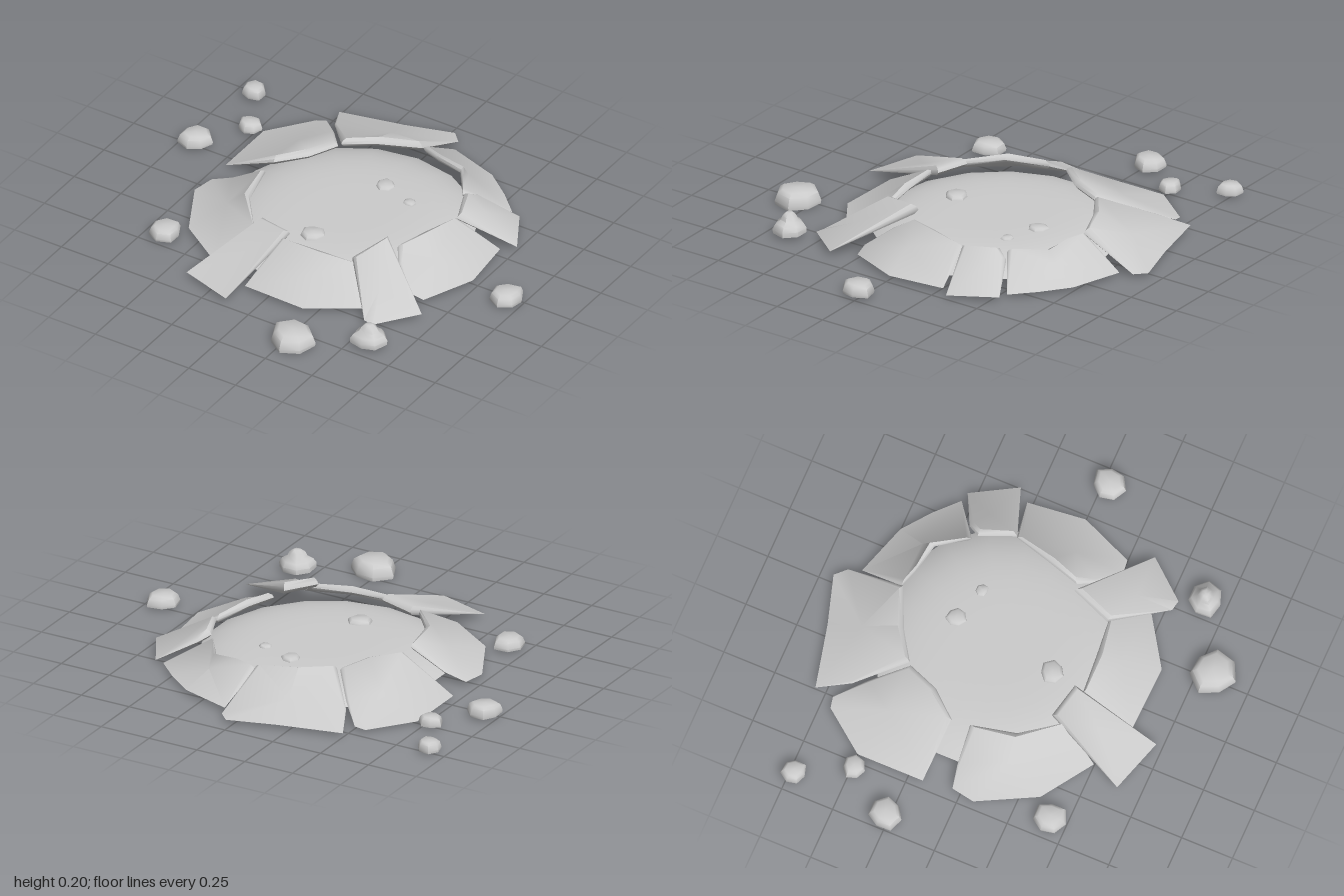
import * as THREE from 'three';
import { toCreasedNormals } from 'three/addons/utils/BufferGeometryUtils.js';

const material = new THREE.MeshStandardMaterial({ color: 0xcccccc, side: THREE.DoubleSide });

function addMesh(group, geometry, name) {
  const mesh = new THREE.Mesh(geometry, material);
  mesh.name = name;
  group.add(mesh);
  return mesh;
}

// Tilted slab: corners [x, z, y] run clockwise seen from above; raised corners get a thick rounded lip
function slab(corners) {
  const n = corners.length;
  const pts = corners.map(([x, z, y]) => new THREE.Vector3(x, y, z));
  const centre = pts.reduce((s, p) => s.add(p), new THREE.Vector3()).divideScalar(n);
  const ring = (inset, drop) => pts.map((p) => {
    const lift = Math.max(0, (p.y - 0.02) / 0.13);
    const inward = centre.clone().sub(p).setY(0).normalize();
    const q = p.clone().addScaledVector(inward, inset * lift);
    q.y -= drop * lift;
    return q;
  });
  const rings = [ring(0.025, 0), ring(0.007, 0.008), ring(0, 0.02), ring(0.014, 0.036)];
  const base = centre.clone();
  base.y -= 0.016;
  const out = [];
  const tri = (...v) => v.forEach((p) => out.push(p.x, p.y, p.z));
  for (let i = 0; i < n; i++) {
    const j = (i + 1) % n;
    tri(centre, rings[0][j], rings[0][i]);
    for (let k = 0; k < 3; k++) {
      const [a, b] = [rings[k], rings[k + 1]];
      tri(a[i], a[j], b[j]);
      tri(a[i], b[j], b[i]);
    }
    tri(base, rings[3][i], rings[3][j]);
  }
  const g = new THREE.BufferGeometry();
  g.setAttribute('position', new THREE.Float32BufferAttribute(out, 3));
  return toCreasedNormals(g, 0.9);
}

// Irregular chipped stone, hollow underneath, with a rounded top
function stone(radius, height, seed, peaked) {
  const outline = peaked
    ? [[0.98, 0], [1, 0.25], [0.82, 0.48], [0.52, 0.65], [0.42, 0.85], [0.2, 1], [0, 1]]
    : [[0.98, 0], [1, 0.25], [0.87, 0.78], [0.66, 1], [0, 1.03]];
  const g = new THREE.LatheGeometry(
    outline.map(([r, y]) => new THREE.Vector2(r * radius, y * height)), 7);
  const p = g.attributes.position;
  for (let i = 0; i < p.count; i++) {
    const a = Math.atan2(p.getZ(i), p.getX(i));
    const s = 1 + 0.07 * Math.sin(2 * a + seed) + 0.06 * Math.sin(3 * a + seed * 2.3);
    p.setX(i, p.getX(i) * s);
    p.setZ(i, p.getZ(i) * s);
  }
  return toCreasedNormals(g, 0.9);
}

export function createModel() {
  const model = new THREE.Group();
  model.name = 'crater';

  // Domed floor, flat in the middle and falling off at the edge
  const profile = [];
  for (let i = 0; i <= 10; i++) {
    const r = 1 - (i / 10) ** 1.6;
    profile.push(new THREE.Vector2(0.58 * r, 0.02 + 0.068 * (1 - r ** 5)));
  }
  const floor = addMesh(model, new THREE.LatheGeometry(profile, 18), 'craterFloor');
  floor.position.set(0, 0, -0.1);

  // Ring of upturned ground slabs
  const L = 0.02;
  const slabs = {
    backSlab: [[-0.5, -0.8, L], [-0.2, -0.87, L], [0.03, -0.94, L], [0.08, -0.89, L],
      [0.065, -0.61, 0.165], [-0.12, -0.53, 0.165], [-0.26, -0.44, 0.165], [-0.43, -0.65, 0.07]],
    backLeftSlab: [[0.1, -0.83, L], [0.35, -0.75, L], [0.48, -0.65, L], [0.585, -0.55, L],
      [0.4, -0.42, 0.145], [0.3, -0.56, 0.145], [0.15, -0.59, 0.155], [0.065, -0.62, 0.155]],
    leftSmallSlab: [[0.63, -0.54, L], [0.75, -0.33, L], [0.49, -0.235, 0.155],
      [0.42, -0.4, 0.16], [0.455, -0.455, 0.135]],
    leftSlab: [[0.695, -0.275, L], [0.725, 0, L], [0.62, 0.25, L], [0.55, 0.26, 0.04],
      [0.44, 0.18, 0.11], [0.385, 0.1, 0.155], [0.43, -0.05, 0.16], [0.485, -0.235, 0.15]],
    frontLeftSlab: [[0.68, 0.36, 0.03], [0.53, 0.54, L], [0.48, 0.53, L],
      [0.27, 0.3, 0.17], [0.34, 0.11, 0.2]],
    frontSlab: [[-0.12, 0.59, L], [-0.09, 0.335, 0.155], [0.11, 0.32, 0.155],
      [0.31, 0.3, 0.14], [0.43, 0.45, L], [0.2, 0.6, L]],
    frontNarrowSlab: [[-0.24, 0.25, 0.165], [-0.07, 0.29, 0.175], [-0.14, 0.72, L], [-0.4, 0.64, L]],
    frontRightSlab: [[-0.72, 0.07, L], [-0.7, -0.04, L], [-0.6, -0.06, 0.06], [-0.43, -0.07, 0.165],
      [-0.38, 0.14, 0.16], [-0.24, 0.32, 0.14], [-0.34, 0.5, L], [-0.58, 0.34, L]],
    rightSlab: [[-0.715, -0.18, 0.01], [-0.715, -0.5, 0.01], [-0.56, -0.7, 0.01], [-0.51, -0.71, 0.02],
      [-0.395, -0.59, 0.08], [-0.27, -0.43, 0.155], [-0.33, -0.28, 0.165], [-0.44, -0.155, 0.165]],
  };
  for (const [name, corners] of Object.entries(slabs)) addMesh(model, slab(corners), name);

  // Loose stones: x, z, base y, radius, height, peaked
  const stones = [
    [-0.91, -0.73, 0.01, 0.057, 0.045], [-0.78, -0.49, 0.01, 0.055, 0.042],
    [-0.93, -0.27, 0.01, 0.077, 0.052], [-0.655, 0.42, 0.01, 0.076, 0.047],
    [0.28, 0.82, 0, 0.107, 0.07], [0.585, 0.65, 0.015, 0.08, 0.095, true],
    [0.924, 0.03, 0.01, 0.078, 0.05], [0.04, -0.34, 0.07, 0.05, 0.03],
    [0.205, -0.285, 0.07, 0.033, 0.026], [-0.03, 0.16, 0.065, 0.06, 0.04],
  ];
  stones.forEach(([x, z, y, r, h, peaked], i) => {
    addMesh(model, stone(r, h, i * 1.7, peaked), 'looseStone').position.set(x, y, z);
  });
  return model;
}
